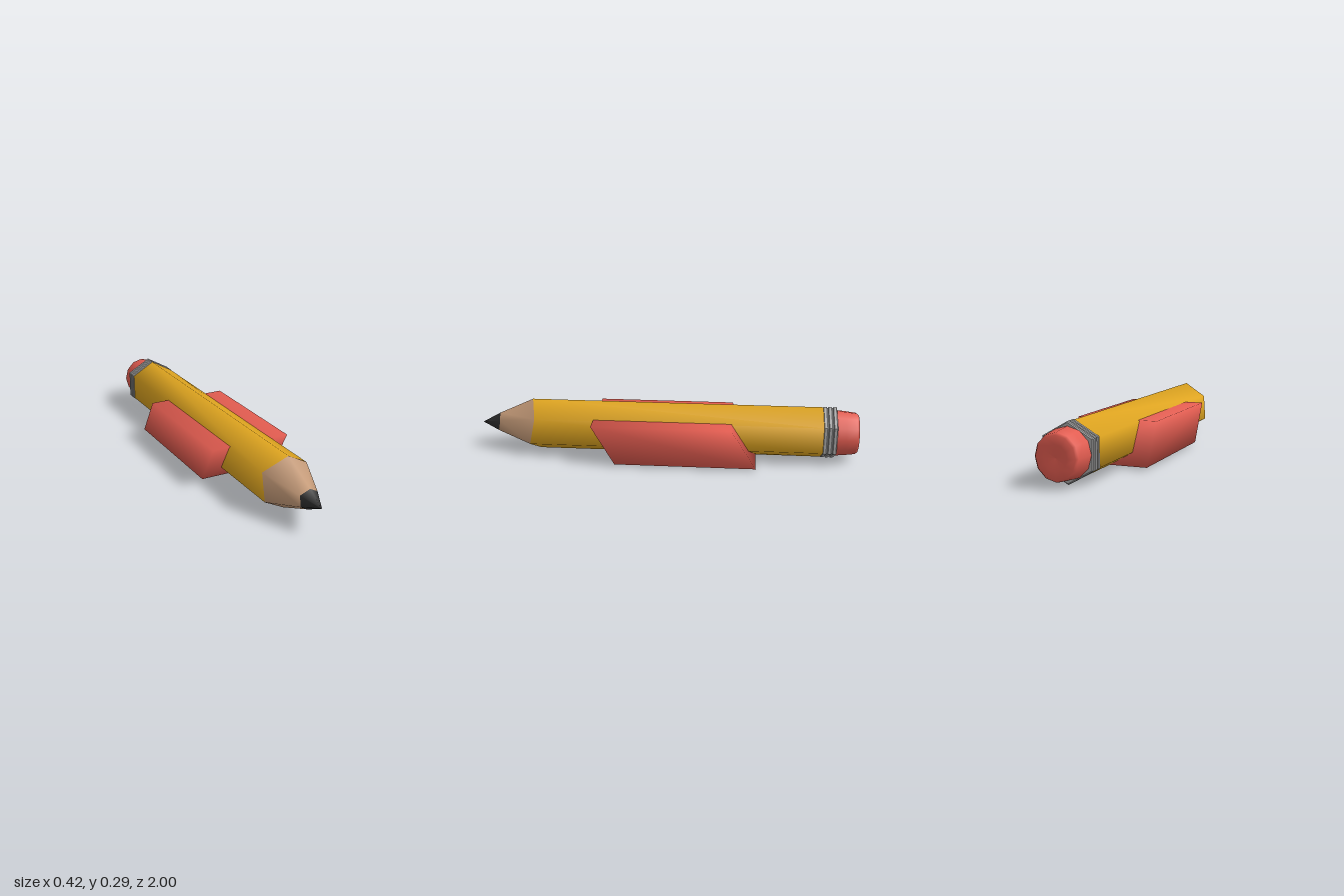
import * as THREE from 'three';
import { toCreasedNormals } from 'three/addons/utils/BufferGeometryUtils.js';

const CENTER_Y = 0.143; // height of the pencil axis

const mat = (name, color) => {
  const m = new THREE.MeshStandardMaterial({ color });
  m.name = name;
  return m;
};

// Hexagonal skin through rings [radius, z, zigzag], ordered from back to front
function hexLoft(rings) {
  const pos = [], idx = [];
  rings.forEach(([r, z, zig = 0], i) => {
    for (let j = 0; j < 6; j++) {
      const a = Math.PI / 2 + j * Math.PI / 3;
      pos.push(r * Math.cos(a), r * Math.sin(a), z + (j % 2 ? -zig : zig));
      if (i > 0) {
        const k = (j + 1) % 6, p = (i - 1) * 6, q = i * 6;
        idx.push(p + j, p + k, q + k, p + j, q + k, q + j);
      }
    }
  });
  const g = new THREE.BufferGeometry();
  g.setAttribute('position', new THREE.Float32BufferAttribute(pos, 3));
  g.setIndex(idx);
  g.computeVertexNormals();
  return g;
}

// Slanted block: leans forward towards the top, corners share smooth normals
function slantedBlock(halfX, y0, y1, zBack0, zBack1, zFront0, zFront1) {
  const pos = [];
  for (const x of [-halfX, halfX])
    pos.push(x, y0, zBack0, x, y0, zFront0, x, y1, zFront1, x, y1, zBack1);
  const idx = [0, 1, 2, 0, 2, 3, 4, 6, 5, 4, 7, 6];
  for (let j = 0; j < 4; j++) {
    const k = (j + 1) % 4;
    idx.push(j, k + 4, k, j, j + 4, k + 4);
  }
  const g = new THREE.BufferGeometry();
  g.setAttribute('position', new THREE.Float32BufferAttribute(pos, 3));
  g.setIndex(idx);
  g.computeVertexNormals();
  return g;
}

export function createModel() {
  const model = new THREE.Group();
  model.name = 'pencilWithEraser';

  const paint = mat('yellowPaint', 0xdfa520);
  const wood = mat('bareWood', 0xc49a78);
  const lead = mat('graphite', 0x2b2b2b);
  const metal = mat('ferruleMetal', 0xa9a9a9);
  const rubber = mat('redRubber', 0xe25c50);

  const add = (name, geometry, material, y = CENTER_Y) => {
    const mesh = new THREE.Mesh(geometry, material);
    mesh.name = name;
    mesh.position.y = y;
    model.add(mesh);
    return mesh;
  };

  // Painted hexagonal body with a zigzag edge where it meets the wood
  add('body', hexLoft([[0.14, -0.82], [0.14, 0.705, 0.015]]), paint);

  // Sharpened wood and graphite point
  add('sharpenedWood', hexLoft([[0.14, 0.705, 0.015], [0.054, 0.9, 0.005]]), wood);
  add('leadTip', hexLoft([[0.054, 0.9, 0.005], [0.003, 0.995], [0, 1]]), lead);

  // Metal ferrule with three ribs
  const ribs = [[0.1, -0.882]];
  for (let i = 0; i < 3; i++) {
    const z = -0.882 + i * 0.025;
    ribs.push([0.137, z], [0.143, z + 0.004], [0.143, z + 0.018], [0.137, z + 0.022]);
  }
  ribs.push([0.12, -0.81]);
  add('ferrule', toCreasedNormals(hexLoft(ribs), 0.6), metal);

  // Tapered end eraser, slightly softened at the rim
  const profile = [[0.122, 0.87], [0.117, 0.93], [0.11, 0.985], [0.1, 0.997], [0.06, 1], [0, 0.996]]
    .map(([r, y]) => new THREE.Vector2(r, y));
  const endEraser = new THREE.LatheGeometry(profile, 12);
  endEraser.rotateX(-Math.PI / 2);
  endEraser.scale(0.96, 1, 1);
  add('endEraser', endEraser, rubber);

  // Slanted eraser block crossing the body
  add('eraserBlock', slantedBlock(0.21, 0.012, 0.217, -0.47, -0.34, 0.26, 0.38), rubber, 0);

  return model;
}
